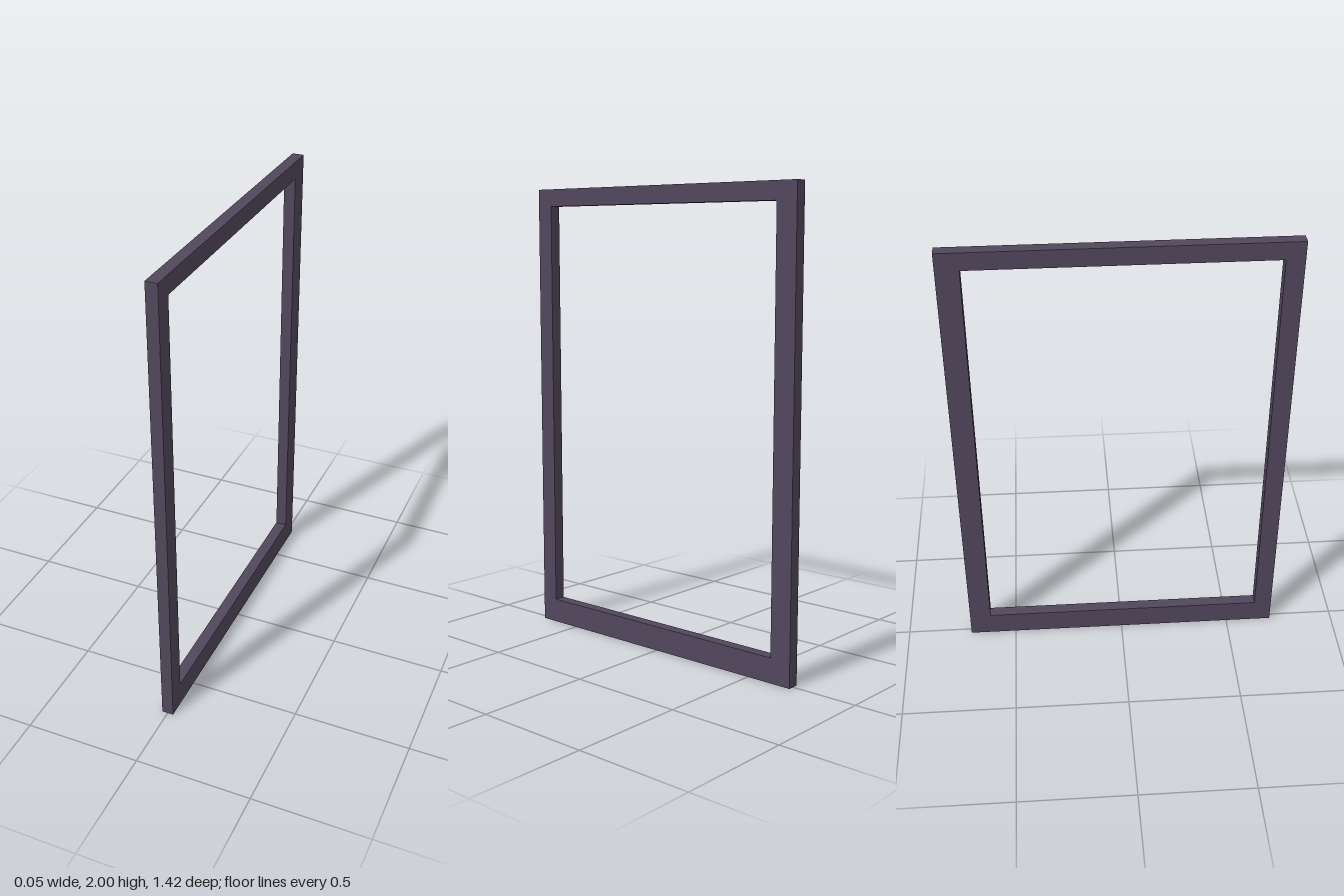
import * as THREE from 'three';

// Counter-clockwise rectangle outline
function rectangle(PathType, left, bottom, right, top) {
  return new PathType([
    new THREE.Vector2(left, bottom),
    new THREE.Vector2(right, bottom),
    new THREE.Vector2(right, top),
    new THREE.Vector2(left, top),
  ]);
}

export function createModel() {
  const group = new THREE.Group();
  group.name = 'rectangularFrame';

  const thickness = 0.05;
  const material = new THREE.MeshStandardMaterial({ color: 0x51475c });

  // Border with a deeper bottom rail and slightly unequal side stiles
  const outline = rectangle(THREE.Shape, -0.708, 0, 0.708, 2);
  outline.holes.push(rectangle(THREE.Path, -0.63, 0.107, 0.613, 1.924));

  // Extrude the thickness, then turn the frame to face sideways along x
  const geometry = new THREE.ExtrudeGeometry(outline, { depth: thickness, bevelEnabled: false });
  geometry.translate(0, 0, -thickness / 2);
  geometry.rotateY(Math.PI / 2);

  const frame = new THREE.Mesh(geometry, material);
  frame.name = 'frame';
  group.add(frame);
  return group;
}
